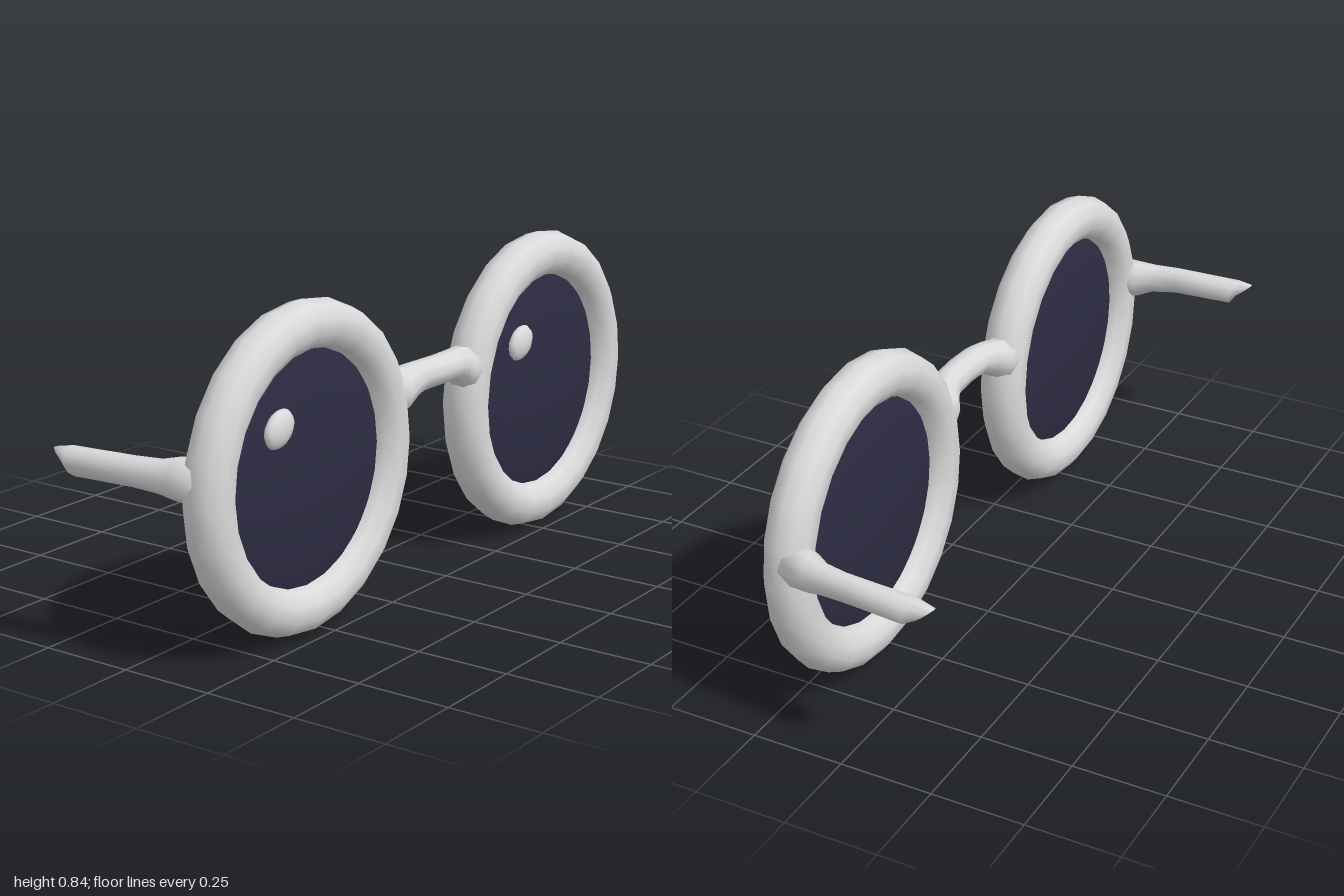
import * as THREE from 'three';

const SIDES = 10;

// Skin of elliptical rings along z. Row: [z, x, y, radiusX, radiusY, shear]
function loft(rows) {
  const pos = [], idx = [];
  for (const [z, x, y, rx, ry, shear = 0] of rows) {
    for (let j = 0; j < SIDES; j++) {
      const a = (j / SIDES) * Math.PI * 2;
      pos.push(x + rx * Math.cos(a), y + ry * Math.sin(a), z - shear * Math.sin(a));
    }
  }
  const n = rows.length, last = rows[n - 1];
  pos.push(rows[0][1], rows[0][2], rows[0][0], last[1], last[2], last[0]);
  for (let j = 0; j < SIDES; j++) {
    const k = (j + 1) % SIDES;
    for (let i = 0; i < n - 1; i++) {
      const a = i * SIDES + j, b = i * SIDES + k;
      idx.push(a, b, b + SIDES, a, b + SIDES, a + SIDES);
    }
    const e = (n - 1) * SIDES;
    idx.push(n * SIDES, k, j, n * SIDES + 1, e + j, e + k);
  }
  const g = new THREE.BufferGeometry();
  g.setAttribute('position', new THREE.Float32BufferAttribute(pos, 3));
  g.setIndex(idx);
  g.computeVertexNormals();
  return g;
}

export function createModel() {
  const frame = new THREE.MeshStandardMaterial({ color: 0xdadada });
  frame.name = 'pale grey frame';
  const glass = new THREE.MeshStandardMaterial({ color: 0x2d2c43 });
  glass.name = 'dark tinted lens';

  const model = new THREE.Group();
  model.name = 'roundGlasses';
  const add = (name, geometry, material, x = 0, y = 0, z = 0) => {
    const m = new THREE.Mesh(geometry, material);
    m.name = name;
    m.position.set(x, y, z);
    model.add(m);
    return m;
  };

  for (const side of [1, -1]) {
    const label = side > 0 ? 'left' : 'right';
    const cx = side * 0.545;

    // Round rim
    add(label + 'Rim', new THREE.TorusGeometry(0.358, 0.063, 10, 24), frame, cx, 0.422, 0.185);

    // Gently domed lens
    const lens = new THREE.SphereGeometry(0.325, 28, 14).rotateX(Math.PI / 2).scale(1, 1, 0.1);
    add(label + 'Lens', lens, glass, cx, 0.422, 0.185);

    // Raised glint, at the same corner of both lenses
    const glint = new THREE.SphereGeometry(1, 10, 8).scale(0.056, 0.043, 0.024);
    add(label + 'Glint', glint, frame, cx - 0.133, 0.555, 0.218).rotation.z = 0.6;

    // Short temple arm with a slanted tip
    const tip = side > 0 ? -0.225 : -0.205;
    add(label + 'Arm', loft([
      [tip, side * 0.966, 0.482, 0.016, 0.025, 0.03],
      [-0.18, side * 0.96, 0.478, 0.037, 0.036, 0.01],
      [0, side * 0.949, 0.48, 0.032, 0.038],
      [0.07, side * 0.937, 0.477, 0.036, 0.042],
      [0.11, side * 0.921, 0.474, 0.046, 0.053],
      [0.18, side * 0.908, 0.474, 0.05, 0.062],
    ]), frame);
  }

  // Bridge, bowed forward and flared into the rims; lofted along z then turned onto x
  const half = [
    [0, -0.213, 0.561, 0.042, 0.04],
    [0.08, -0.209, 0.56, 0.042, 0.041],
    [0.115, -0.2, 0.55, 0.046, 0.048],
    [0.15, -0.188, 0.532, 0.056, 0.06],
    [0.2, -0.185, 0.525, 0.06, 0.063],
  ];
  const mirrored = half.slice(1).reverse().map(([z, ...rest]) => [-z, ...rest]);
  add('bridge', loft([...mirrored, ...half]).rotateY(Math.PI / 2), frame);

  return model;
}
